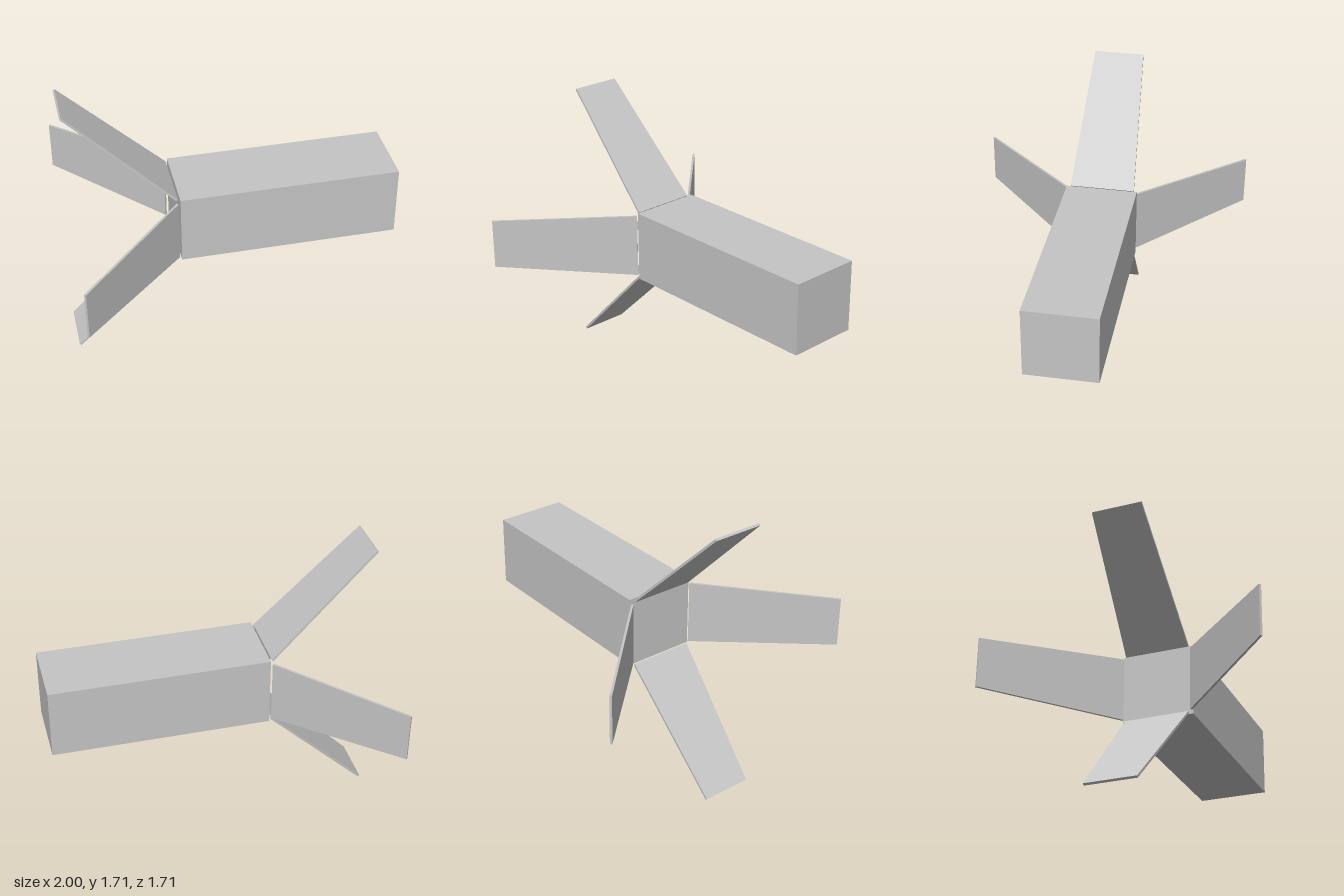
import * as THREE from 'three';

export function createModel() {
  const model = new THREE.Group();
  const grey = new THREE.MeshStandardMaterial({ color: 0xc4c4c4 });
  grey.name = 'light grey';
  const centreY = 0.855;

  // Square-section main body
  const body = new THREE.Mesh(new THREE.BoxGeometry(1.343, 0.444, 0.444), grey);
  body.name = 'body';
  body.position.set(0.3285, centreY + 0.002, 0);
  model.add(body);

  // Tapered panel, long in x, wide in y, thin in z
  const length = 0.898, thickness = 0.014;
  const outline = new THREE.Shape([
    new THREE.Vector2(0, -0.2),
    new THREE.Vector2(length, -0.155),
    new THREE.Vector2(length, 0.155),
    new THREE.Vector2(0, 0.2),
  ]);
  const panel = new THREE.ExtrudeGeometry(outline, { depth: thickness, bevelEnabled: false });
  panel.translate(0, 0, -thickness / 2);

  // Lean the panel back and outwards at 45 degrees, just behind the body end
  panel.applyMatrix4(new THREE.Matrix4().makeBasis(
    new THREE.Vector3(-1, 1, 0).normalize(),
    new THREE.Vector3(0, 0, 1),
    new THREE.Vector3(1, 1, 0).normalize(),
  ));
  panel.translate(-0.36, 0.215, 0);

  // One panel on each side of the body axis
  ['topPanel', 'leftPanel', 'bottomPanel', 'rightPanel'].forEach((name, i) => {
    const mesh = new THREE.Mesh(panel, grey);
    mesh.name = ['topPanel', 'frontPanel', 'bottomPanel', 'backPanel'][i];
    mesh.rotation.x = i * Math.PI / 2;
    mesh.position.y = centreY;
    model.add(mesh);
  });

  return model;
}
